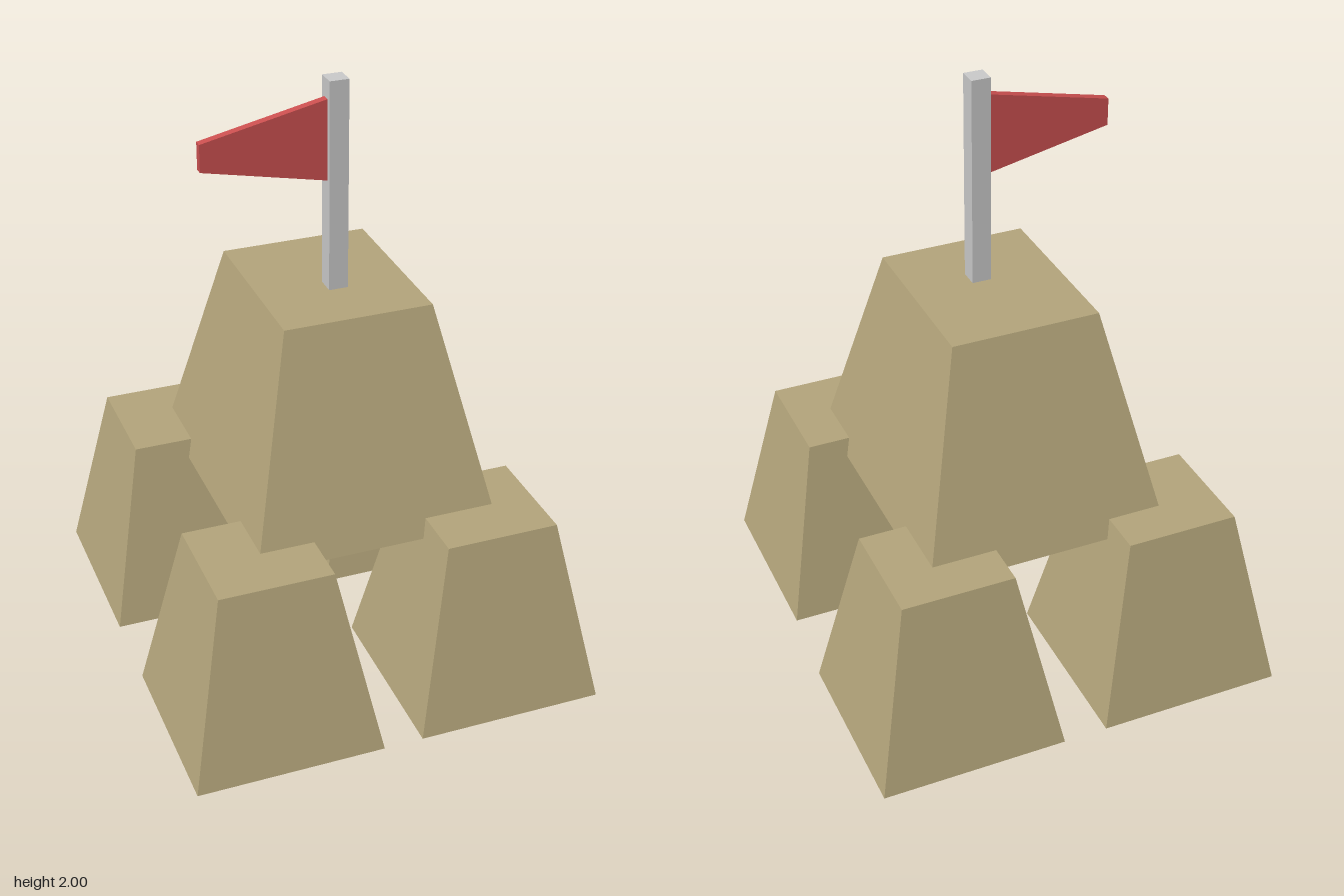
import * as THREE from 'three';

const sand = new THREE.MeshStandardMaterial({ color: 0xb5a67c, flatShading: true });
const grey = new THREE.MeshStandardMaterial({ color: 0xcccccc, flatShading: true });
const red = new THREE.MeshStandardMaterial({ color: 0xcc5050, flatShading: true });

// Block standing on y = 0 whose top is scaled down to a smaller rectangle
function taperedBlock(name, [bw, bd], [tw, td], height, [x, y, z], material) {
  const geometry = new THREE.BoxGeometry(bw, height, bd).translate(0, height / 2, 0);
  const p = geometry.attributes.position;
  for (let i = 0; i < p.count; i++) {
    if (p.getY(i) > height / 2) p.setXYZ(i, p.getX(i) * tw / bw, height, p.getZ(i) * td / bd);
  }
  geometry.computeVertexNormals();
  const mesh = new THREE.Mesh(geometry, material);
  mesh.name = name;
  mesh.position.set(x, y, z);
  return mesh;
}

export function createModel() {
  const model = new THREE.Group();
  model.name = 'sandcastle';

  // Four corner mounds
  const corners = [
    ['frontLeftMound', 0.37, 0.455],
    ['frontRightMound', -0.388, 0.455],
    ['backLeftMound', 0.387, -0.458],
    ['backRightMound', -0.388, -0.458],
  ];
  for (const [name, x, z] of corners) {
    model.add(taperedBlock(name, [0.626, 0.626], [0.377, 0.377], 0.63, [x, 0, z], sand));
  }

  // Large mound resting on the corners
  model.add(taperedBlock('centralMound', [0.824, 0.992], [0.494, 0.595], 0.735, [0.018, 0.565, -0.018], sand));

  // Flagpole
  model.add(taperedBlock('flagpole', [0.064, 0.064], [0.064, 0.064], 0.7, [0.028, 1.3, 0.042], grey));

  // Pennant narrowing away from the pole
  const outline = new THREE.Shape([
    new THREE.Vector2(0, 1.67),
    new THREE.Vector2(0, 1.938),
    new THREE.Vector2(-0.412, 1.848),
    new THREE.Vector2(-0.412, 1.758),
  ]);
  const flag = new THREE.Mesh(new THREE.ExtrudeGeometry(outline, { depth: 0.028, bevelEnabled: false }), red);
  flag.name = 'flag';
  flag.position.z = 0.028;
  model.add(flag);

  return model;
}
